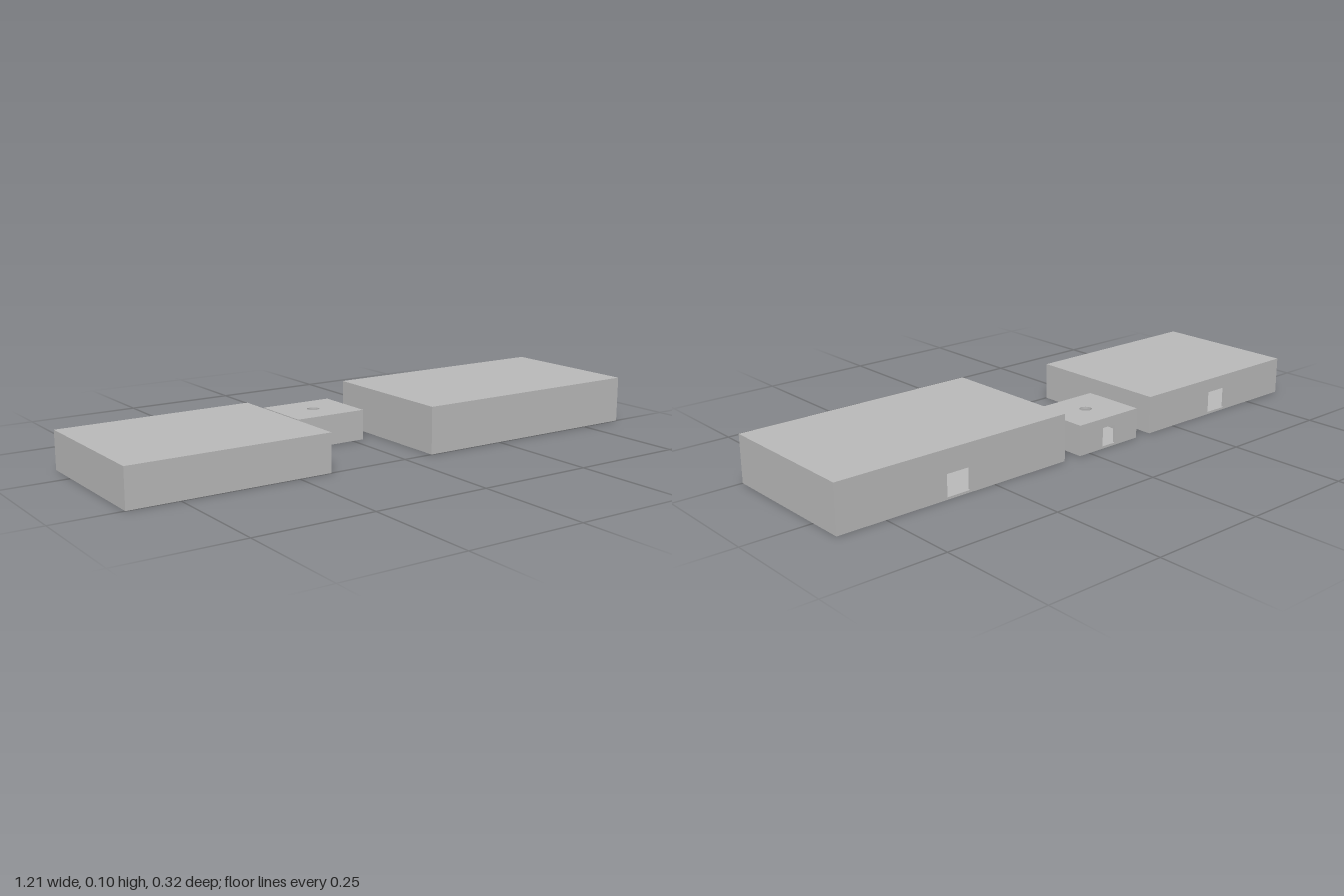
import * as THREE from 'three';

const T = 0.005;        // wall thickness
const BACK = 0.676;     // shared back line of the three rooms

const grey = new THREE.MeshStandardMaterial({ color: 0xb8b8b8 });
grey.name = 'plainGrey';

function add(group, name, geometry, x, y, z) {
  const mesh = new THREE.Mesh(geometry, grey);
  mesh.name = name;
  mesh.position.set(x, y, z);
  group.add(mesh);
  return mesh;
}

function rectangle(w, h) {
  return new THREE.Shape([
    new THREE.Vector2(-w / 2, -h / 2), new THREE.Vector2(w / 2, -h / 2),
    new THREE.Vector2(w / 2, h / 2), new THREE.Vector2(-w / 2, h / 2),
  ]);
}

// Hollow flat-roofed block with a doorway in its back wall
function block({ name, x0, x1, front, height, doorW, doorH, vent }) {
  const g = new THREE.Group();
  g.name = name;
  const w = x1 - x0, d = front - BACK, inner = height - 2 * T;
  const extrude = { depth: T, bevelEnabled: false, curveSegments: 12 };
  g.position.set((x0 + x1) / 2, 0, (BACK + front) / 2);

  add(g, 'floor', new THREE.BoxGeometry(w, T, d), 0, T / 2, 0);

  // Roof, optionally pierced by a small round vent
  const roofShape = rectangle(w, d);
  if (vent) roofShape.holes.push(new THREE.Path().absarc(0, 0, vent, 0, Math.PI * 2, true));
  const roof = add(g, 'roof', new THREE.ExtrudeGeometry(roofShape, extrude), 0, height - T, 0);
  roof.rotation.x = -Math.PI / 2;

  // Front and side walls
  add(g, 'frontWall', new THREE.BoxGeometry(w, inner, T), 0, height / 2, d / 2 - T / 2);
  for (const s of [-1, 1]) {
    add(g, s > 0 ? 'leftWall' : 'rightWall', new THREE.BoxGeometry(T, inner, d - 2 * T),
      s * (w - T) / 2, height / 2, 0);
  }

  // Back wall notched by the doorway
  const a = w / 2, b = doorW / 2;
  const wall = new THREE.Shape([
    [-a, 0], [-b, 0], [-b, doorH], [b, doorH], [b, 0], [a, 0], [a, inner], [-a, inner],
  ].map(([x, y]) => new THREE.Vector2(x, y)));
  add(g, 'backWall', new THREE.ExtrudeGeometry(wall, extrude), 0, T, -d / 2);
  return g;
}

export function createModel() {
  const model = new THREE.Group();
  model.name = 'threeBlocks';
  model.add(
    block({ name: 'lowBlock', x0: -0.607, x1: -0.177, front: 1, height: 0.081, doorW: 0.054, doorH: 0.046 }),
    block({ name: 'smallBlock', x0: -0.137, x1: 0.026, front: 0.815, height: 0.065, doorW: 0.035, doorH: 0.04, vent: 0.013 }),
    block({ name: 'tallBlock', x0: 0.068, x1: 0.604, front: 1, height: 0.1, doorW: 0.054, doorH: 0.046 }),
  );
  return model;
}
